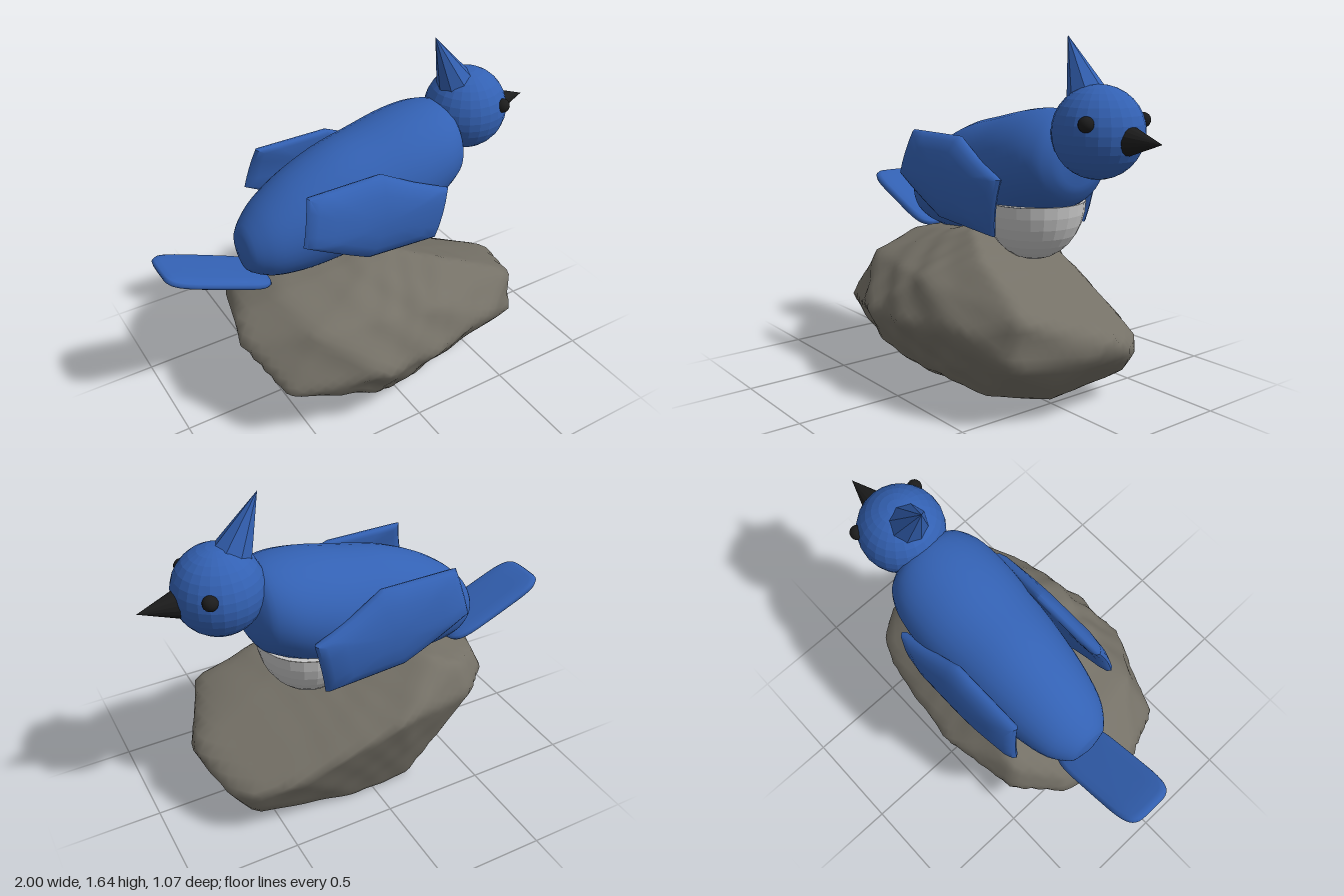
import * as THREE from 'three';
import { toCreasedNormals, mergeVertices } from 'three/addons/utils/BufferGeometryUtils.js';
import { ConvexGeometry } from 'three/addons/geometries/ConvexGeometry.js';

const material = (name, color) => Object.assign(new THREE.MeshStandardMaterial({ color }), { name });
const V = (x, y, z) => new THREE.Vector3(x, y, z);
const MID = -0.115; // z of the bird's plane of symmetry

// Skin closed rings of equal length, capping both ends; always faces outward.
function loft(rings) {
  const n = rings[0].length;
  const points = rings.flat();
  const tris = [];
  for (let i = 0; i < rings.length - 1; i++) {
    for (let j = 0; j < n; j++) {
      const a = i * n + j, b = i * n + (j + 1) % n;
      tris.push([a, b, b + n], [a, b + n, a + n]);
    }
  }
  [0, rings.length - 1].forEach((r, end) => {
    const c = points.length;
    points.push(rings[r].reduce((s, p) => s.add(p), V(0, 0, 0)).divideScalar(n));
    for (let j = 0; j < n; j++) {
      const a = r * n + j, b = r * n + (j + 1) % n;
      tris.push(end ? [a, b, c] : [b, a, c]);
    }
  });
  let volume = 0;
  for (const [a, b, c] of tris) volume += points[a].dot(points[b].clone().cross(points[c]));
  if (volume < 0) tris.forEach((t) => t.reverse());
  const geometry = new THREE.BufferGeometry().setFromPoints(points);
  geometry.setIndex(tris.flat());
  geometry.computeVertexNormals();
  return geometry;
}

// Torso: ellipses across x, [x, centre y, half height, half depth].
function bodyGeometry() {
  const stations = [
    [-0.605, 0.83, 0.03, 0.03], [-0.59, 0.835, 0.1, 0.1], [-0.5, 0.86, 0.175, 0.175],
    [-0.35, 0.9, 0.237, 0.22], [-0.15, 0.948, 0.275, 0.25], [0.05, 0.99, 0.28, 0.268],
    [0.25, 1.045, 0.266, 0.275], [0.4, 1.085, 0.235, 0.255], [0.49, 1.1, 0.2, 0.21],
    [0.535, 1.095, 0.125, 0.14], [0.55, 1.09, 0.04, 0.04],
  ];
  const centre = new THREE.CatmullRomCurve3(stations.map(([x, y]) => V(x, y, 0)));
  const size = new THREE.CatmullRomCurve3(stations.map(([x, , h, d]) => V(x, h, d)));
  const rings = [];
  for (let i = 0; i <= 40; i++) {
    const c = centre.getPoint(i / 40), s = size.getPoint(i / 40);
    rings.push(Array.from({ length: 32 }, (_, j) => {
      const a = (j / 32) * Math.PI * 2;
      return V(c.x, c.y + s.y * Math.cos(a), MID + s.z * Math.sin(a));
    }));
  }
  return loft(rings);
}

// Folded wing: an angular outline, domed outside and bent around the body.
function wingGeometry(side) {
  const outline = [[-0.38, 1.18], [0, 1.18], [0.16, 1.1], [0.345, 1.02], [0.29, 0.755], [-0.1, 0.785], [-0.43, 0.965]];
  const cx = -0.03, cy = 0.97;
  // [outline scale, distance from the middle surface]
  const layers = [[0.3, 0.045], [0.65, 0.041], [0.88, 0.03], [0.97, 0.016], [1, 0], [0.97, -0.016], [0.88, -0.028], [0.4, -0.033]];
  const rings = layers.map(([s, t]) => {
    const ring = [];
    outline.forEach(([x0, y0], i) => {
      const [x1, y1] = outline[(i + 1) % outline.length];
      for (let k = 0; k < 4; k++) {
        const x = cx + (x0 + (x1 - x0) * k / 4 - cx) * s;
        const y = cy + (y0 + (y1 - y0) * k / 4 - cy) * s;
        const bend = 0.297 - 0.75 * (y - 0.92) ** 2;
        ring.push(V(x, y, MID + side * (bend + t)));
      }
    });
    return ring;
  });
  return toCreasedNormals(loft(rings), 0.9);
}

// Tail: a rounded paddle.
function tailGeometry() {
  const layers = [[0.6, 0.024], [0.88, 0.021], [0.97, 0.013], [1, 0], [0.97, -0.013], [0.88, -0.021], [0.6, -0.024]];
  const power = (v, e) => Math.sign(v) * Math.abs(v) ** e;
  return loft(layers.map(([s, y]) => Array.from({ length: 40 }, (_, j) => {
    const a = (j / 40) * Math.PI * 2;
    return V(0.275 * s * power(Math.cos(a), 0.4), y, 0.135 * s * power(Math.sin(a), 0.42));
  })));
}

// Rock: a ball shrunk onto the flat facets between corner points, then weathered.
function rockGeometry() {
  const corners = [
    // base
    [-0.28, 0, 0.08], [-0.12, 0, 0.18], [0.25, 0, 0.18], [0.43, 0, 0], [0.42, 0, -0.22], [0.1, 0, -0.33], [-0.2, 0, -0.32],
    // lower flanks
    [0.56, 0.05, 0.05], [0.63, 0.12, -0.33], [0.65, 0.14, 0.1], [0, 0.1, 0.35], [-0.2, 0.2, 0.45], [-0.45, 0.14, 0.05],
    [0.65, 0.28, 0.36],
    // widest girth
    [0.8, 0.38, -0.05], [0.8, 0.3, 0.03], [0.74, 0.25, -0.28], [0.65, 0.28, -0.39], [0.45, 0.33, -0.46],
    [0.2, 0.44, -0.5], [-0.06, 0.55, -0.54], [-0.45, 0.52, -0.46], [-0.64, 0.5, -0.28], [-0.74, 0.49, 0.1],
    [-0.62, 0.32, 0.36], [-0.2, 0.38, 0.54], [0.1, 0.38, 0.52], [0.45, 0.4, 0.45], [0.66, 0.49, 0.32],
    // top
    [-0.7, 0.56, 0], [-0.6, 0.6, -0.25], [-0.4, 0.68, -0.41], [-0.27, 0.73, -0.36], [-0.5, 0.655, 0.05],
    [0.05, 0.74, 0.1], [0.3, 0.66, 0.24], [0.5, 0.57, 0.26], [-0.45, 0.58, 0.32], [0.1, 0.57, 0.43],
  ];
  const centre = V(0, 0.36, 0);
  const hull = new ConvexGeometry(corners.map((p) => V(...p).sub(centre))).getAttribute('position');
  const at = (i) => V(0, 0, 0).fromBufferAttribute(hull, i);
  const planes = [];
  for (let i = 0; i < hull.count; i += 3) {
    planes.push(new THREE.Plane().setFromCoplanarPoints(at(i), at(i + 1), at(i + 2)));
  }
  const ball = new THREE.IcosahedronGeometry(1, 18);
  ball.deleteAttribute('normal');
  ball.deleteAttribute('uv');
  const geometry = mergeVertices(ball, 1e-4);
  const position = geometry.getAttribute('position');
  for (let i = 0; i < position.count; i++) {
    const p = V(0, 0, 0).fromBufferAttribute(position, i).normalize();
    let reach = Infinity;
    for (const { normal, constant } of planes) {
      const slope = normal.dot(p);
      if (slope > 1e-6) reach = Math.min(reach, -constant / slope);
    }
    // the front is the most weathered
    const rough = 0.006 + 0.016 * Math.max(0, p.z);
    const wave = Math.sin(9 * p.x + 4 * p.y) * Math.sin(8 * p.y + 3 * p.x + 1) + 0.4 * Math.sin(19 * p.x - 13 * p.y);
    p.multiplyScalar(reach * (1 + rough * wave)).add(centre);
    position.setXYZ(i, p.x, Math.max(0, p.y), p.z);
  }
  geometry.computeVertexNormals();
  return geometry;
}

export function createModel() {
  const blue = material('blue feathers', 0x3361b3);
  const pale = material('pale belly', 0xc6c6c6);
  const black = material('black', 0x1c1c1c);
  const stone = material('grey stone', 0x757167);

  const model = new THREE.Group();
  model.name = 'birdOnRock';
  const add = (name, geometry, mat, position) => {
    const mesh = new THREE.Mesh(geometry, mat);
    mesh.name = name;
    if (position) mesh.position.set(...position);
    model.add(mesh);
    return mesh;
  };
  const faceted = (geometry) => toCreasedNormals(geometry, 0.01);
  // Cone from base centre to tip
  const spike = (name, base, tip, radius, sides, mat) => {
    const axis = tip.clone().sub(base);
    const cone = faceted(new THREE.ConeGeometry(radius, axis.length(), sides));
    const mesh = add(name, cone, mat, base.clone().lerp(tip, 0.5).toArray());
    mesh.quaternion.setFromUnitVectors(V(0, 1, 0), axis.normalize());
  };

  add('rock', rockGeometry(), stone);
  add('body', bodyGeometry(), blue);

  // Belly: lower half of a sphere with a flat lid
  const belly = faceted(new THREE.SphereGeometry(0.24, 24, 8, 0, Math.PI * 2, Math.PI / 2, Math.PI / 2));
  add('belly', belly, pale, [0.24, 0.89, MID]).scale.set(0.99, 1.17, 1);
  const lid = add('bellyLid', new THREE.CircleGeometry(0.238, 24), pale, [0.24, 0.89, MID]);
  lid.rotation.x = -Math.PI / 2;

  add('head', faceted(new THREE.SphereGeometry(0.202, 24, 16)), blue, [0.645, 1.236, MID]);
  spike('crest', V(0.585, 1.36, MID), V(0.447, 1.64, MID), 0.1, 8, blue);
  spike('beak', V(0.82, 1.215, MID), V(1, 1.215, MID), 0.066, 16, black);

  for (const side of [1, -1]) {
    const prefix = side > 0 ? 'front' : 'back';
    add(prefix + 'Wing', wingGeometry(side), blue);
    add(prefix + 'Eye', new THREE.SphereGeometry(0.034, 16, 12), black, [0.742, 1.285, MID + side * 0.168]);
  }

  add('tail', tailGeometry(), blue, [-0.745, 0.77, MID]).rotation.z = -0.405;
  return model;
}
